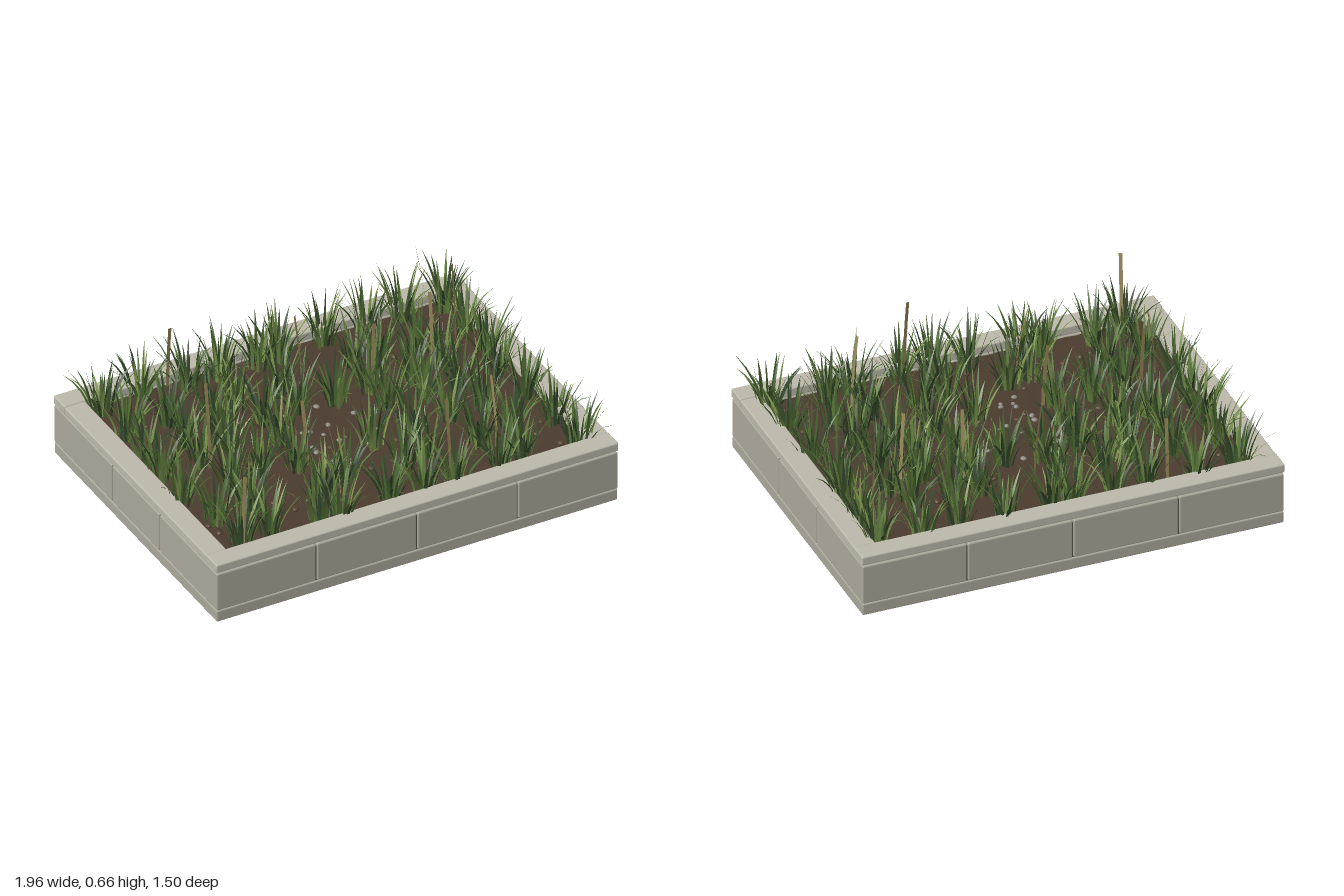
import * as THREE from 'three';
import { mergeGeometries } from 'three/addons/utils/BufferGeometryUtils.js';
import { RoundedBoxGeometry } from 'three/addons/geometries/RoundedBoxGeometry.js';

let seed = 7;
const rand = (a = 0, b = 1) => {
  seed = (seed * 16807) % 2147483647;
  return a + (b - a) * (seed / 2147483647);
};

const material = (color, extra = {}) => new THREE.MeshStandardMaterial({ color, ...extra });
const CX = 0.005, CZ = 0.003, SOIL_Y = 0.24;

// Curved blade: a flat ribbon narrowing towards its tip
function blade(base, angle, reach, height, droop, width, steps, tipWidth = 0) {
  const pos = [], index = [];
  const twist = angle + Math.PI / 2 + rand(-0.5, 0.5);
  const sx = Math.cos(twist), sz = Math.sin(twist);
  for (let i = 0; i <= steps; i++) {
    const t = i / steps;
    const out = reach * Math.pow(t, 1.6);
    const x = THREE.MathUtils.clamp(base.x + Math.cos(angle) * out, -0.99, 0.99);
    const z = THREE.MathUtils.clamp(base.z + Math.sin(angle) * out, -0.75, 0.75);
    const y = base.y + height * t - droop * t * t * t;
    const w = 0.5 * (tipWidth || width * Math.max(0.03, (1 - t * t) * (0.75 + 0.5 * t)));
    pos.push(x - sx * w, y, z - sz * w, x + sx * w, y, z + sz * w);
    if (i < steps) {
      const a = i * 2;
      index.push(a, a + 1, a + 2, a + 1, a + 3, a + 2);
    }
  }
  const g = new THREE.BufferGeometry();
  g.setAttribute('position', new THREE.Float32BufferAttribute(pos, 3));
  g.setIndex(index);
  g.computeVertexNormals();
  return g;
}

// Tuft positions: z of each row, then x along the row
const rows = [
  [-0.58, [-0.82, -0.61, -0.39, -0.24, -0.06, 0.04, 0.28, 0.48, 0.65, 0.84]],
  [-0.37, [-0.8, -0.6, -0.41, -0.3, -0.08, 0.29, 0.41, 0.6, 0.85]],
  [-0.19, [-0.81, -0.61, -0.46, -0.25, -0.07, 0.1, 0.27, 0.47, 0.65, 0.84]],
  [-0.03, [-0.81, -0.62, -0.46, -0.26, 0.28, 0.45, 0.62, 0.82]],
  [0.17, [-0.85, -0.62, -0.46, -0.27, 0.07, 0.29, 0.48, 0.64, 0.84]],
  [0.38, [-0.79, -0.61, -0.25, -0.15, 0.12, 0.26, 0.48, 0.65, 0.85]],
  [0.58, [-0.77, -0.61, -0.38, -0.28, -0.06, 0.11, 0.25, 0.5, 0.62, 0.86]],
];

// Dry stalks: x, z, top height
const stalks = [
  [-0.77, 0.62, 0.62], [-0.73, 0.22, 0.57], [-0.61, -0.03, 0.66], [-0.48, -0.59, 0.565],
  [-0.25, 0.4, 0.59], [0, -0.36, 0.61], [0.24, 0.555, 0.655], [0.52, 0.44, 0.62],
  [0.58, -0.22, 0.63], [0.67, -0.51, 0.655], [0.77, -0.37, 0.62], [-0.24, 0.15, 0.56], [0.3, -0.2, 0.57],
];

export function createModel() {
  seed = 7;
  const model = new THREE.Group();
  model.name = 'planter';
  const stone = material(0xaaa699), coping = material(0xbbb8aa);
  const add = (name, geometry, mat, x = 0, y = 0, z = 0, parent = model) => {
    const mesh = new THREE.Mesh(geometry, mat);
    mesh.name = name;
    mesh.position.set(x, y, z);
    parent.add(mesh);
    return mesh;
  };
  const slab = (name, w, h, d, x, y, z, mat) =>
    add(name, new RoundedBoxGeometry(w, h, d, 2, 0.007), mat, x + CX, y, z + CZ);

  // Base course, dark mortar core and soil
  slab('baseCourse', 1.945, 0.056, 1.458, 0, 0.028, 0, stone);
  add('mortarCore', new THREE.BoxGeometry(1.93, 0.18, 1.442), material(0x55524a), CX, 0.14, CZ);
  const soil = new THREE.PlaneGeometry(1.77, 1.28, 40, 30).rotateX(-Math.PI / 2);
  const p = soil.attributes.position;
  for (let i = 0; i < p.count; i++) p.setY(i, rand(-0.003, 0.003));
  soil.computeVertexNormals();
  add('soil', soil, material(0x4b3b2f), CX, SOIL_Y, CZ);

  // Wall blocks: four along each long side, three along each short side
  for (const s of [-1, 1]) {
    for (let i = 0; i < 4; i++)
      slab('longWallBlock', 0.482, 0.188, 0.09, (i - 1.5) * 0.488, 0.152, s * 0.685, stone);
    for (let i = 0; i < 3; i++)
      slab('shortWallBlock', 0.09, 0.188, i === 1 ? 0.416 : 0.515, s * 0.928, 0.152, (i - 1) * 0.4725, stone);
    // Coping stones
    slab('longCoping', 1.952, 0.042, 0.098, 0, 0.274, s * 0.683, coping);
    slab('shortCoping', 0.1, 0.04, 1.268, s * 0.925, 0.273, 0, coping);
  }

  // Grass tufts, with blades gathered by shade of green
  const greens = [0x33482a, 0x48632f, 0x5f7c3d, 0x7b924c];
  const shades = greens.map(() => []);
  for (const [z, xs] of rows) {
    for (const x of xs) {
      const cx = x + rand(-0.015, 0.015), cz = z + rand(-0.025, 0.025);
      for (let k = 0; k < 30; k++) {
        const angle = k * 2.4 + rand(-0.4, 0.4);
        const r = 0.05 * Math.sqrt(rand());
        const reach = rand(0.02, 0.125);
        const root = new THREE.Vector3(cx + Math.cos(angle) * r, SOIL_Y - 0.005, cz + Math.sin(angle) * r);
        const pick = Math.min(3, Math.floor(rand(0, 3.35)));
        shades[pick].push(blade(root, angle, reach, rand(0.16, 0.275), reach * rand(0.1, 0.5), rand(0.013, 0.02), 4));
      }
    }
  }
  const grass = new THREE.Group();
  grass.name = 'grass';
  model.add(grass);
  shades.forEach((list, i) =>
    add('grassBlades', mergeGeometries(list), material(greens[i], { side: THREE.DoubleSide }), 0, 0, 0, grass));

  // Dry stalks
  const dry = stalks.map(([x, z, top]) => {
    const angle = rand(0, 6.28), lean = rand(0.01, 0.06);
    const root = new THREE.Vector3(x - Math.cos(angle) * lean, SOIL_Y, z - Math.sin(angle) * lean);
    return blade(root, angle, lean, top - SOIL_Y, 0, 0.016, 4, 0.016);
  });
  add('dryStalks', mergeGeometries(dry), material(0x9a8a5c, { side: THREE.DoubleSide }));

  // Pebbles and soil clods
  const scatter = (name, count, w, d, size, color) => {
    const list = [];
    for (let i = 0; i < count; i++) {
      const s = size * rand(0.7, 1.2);
      list.push(new THREE.IcosahedronGeometry(1, 1).scale(s * 1.2, s * 0.7, s).rotateY(rand(0, 3))
        .translate(rand(-w, w), SOIL_Y + s * 0.3, rand(-d, d) + 0.05));
    }
    add(name, mergeGeometries(list), material(color));
  };
  scatter('pebbles', 18, 0.2, 0.24, 0.011, 0x8d8981);
  scatter('soilClods', 50, 0.82, 0.55, 0.013, 0x55412f);

  return model;
}
